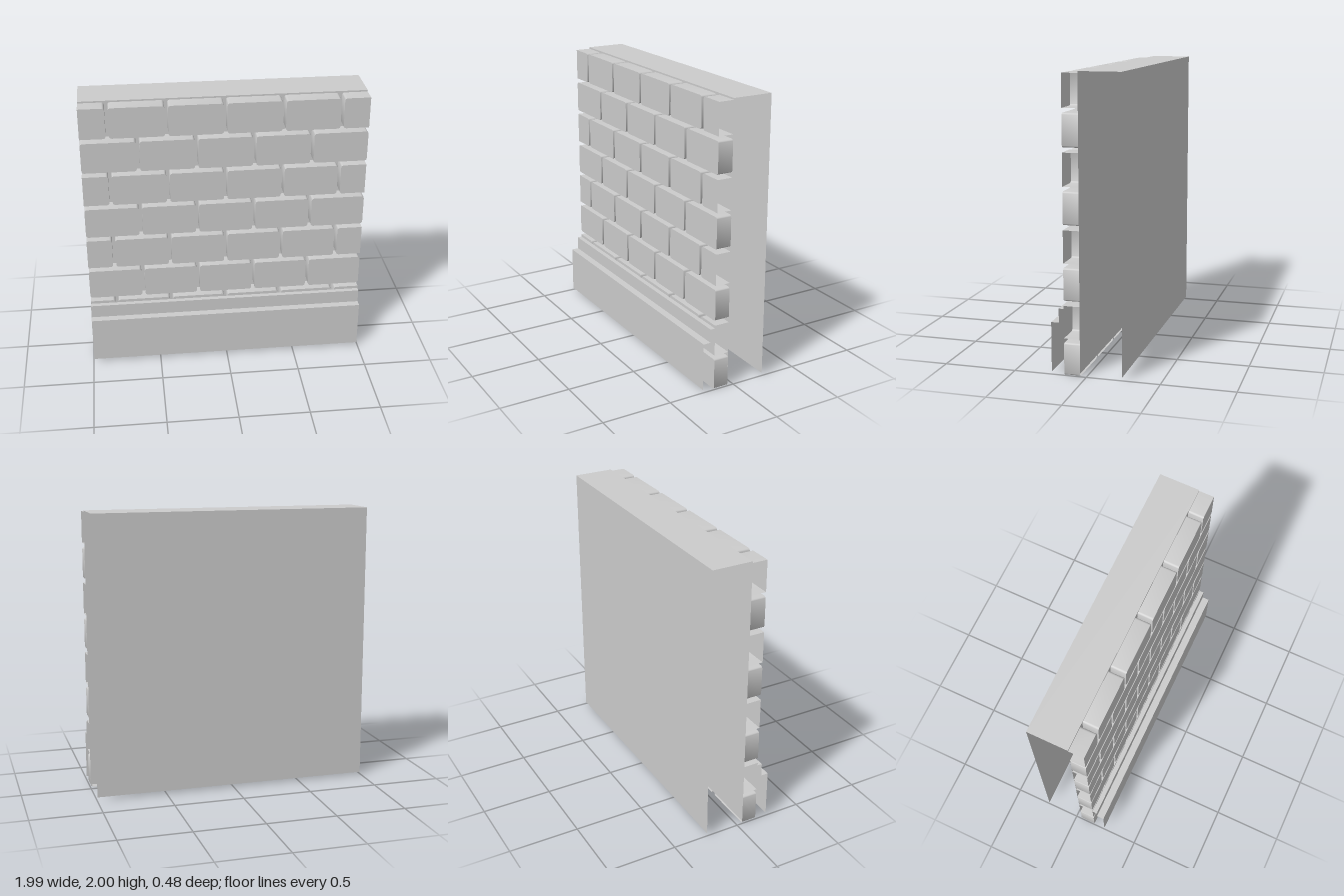
import * as THREE from 'three';
import { mergeGeometries, toCreasedNormals } from 'three/addons/utils/BufferGeometryUtils.js';

const HALF = 0.995;                  // half the wall length
const BACK = -0.242, FACE = 0.044;   // wall back and front
const BRICK_FRONT = 0.153;
const BRICK_W = 0.379, BRICK_H = 0.221, PITCH_X = 0.4025, PITCH_Y = 0.2525;
const RADIUS = 0.018;

const material = new THREE.MeshStandardMaterial({ color: 0xcccccc, side: THREE.DoubleSide });

// Sheet swept along z from a counter-clockwise outline
function strip(points, z0, z1, closed = false) {
  const pos = [];
  const count = closed ? points.length : points.length - 1;
  for (let i = 0; i < count; i++) {
    const [px, py] = points[i];
    const [qx, qy] = points[(i + 1) % points.length];
    pos.push(px, py, z0, qx, qy, z0, qx, qy, z1);
    pos.push(px, py, z0, qx, qy, z1, px, py, z1);
  }
  const geo = new THREE.BufferGeometry();
  geo.setAttribute('position', new THREE.Float32BufferAttribute(pos, 3));
  return toCreasedNormals(geo, 0.6);
}

// Rounded corner as a quarter arc
function corner(cx, cy, start, steps = 4) {
  return Array.from({ length: steps + 1 }, (_, i) => {
    const a = start + (i / steps) * Math.PI / 2;
    return [cx + RADIUS * Math.cos(a), cy + RADIUS * Math.sin(a)];
  });
}

// Brick shell without a back; a cut brick is square and open at its right end
function brickGeometry(width, cut) {
  const x = width / 2 - RADIUS, y = BRICK_H / 2 - RADIUS;
  const left = [...corner(-x, y, Math.PI / 2), ...corner(-x, -y, Math.PI)];
  const points = cut
    ? [[width / 2, BRICK_H / 2], ...left, [width / 2, -BRICK_H / 2]]
    : [...corner(x, y, 0), ...left, ...corner(x, -y, Math.PI * 1.5)];
  const sides = strip(points, FACE, BRICK_FRONT, !cut);
  const shape = new THREE.Shape(points.map(([px, py]) => new THREE.Vector2(px, py)));
  const front = new THREE.ShapeGeometry(shape).toNonIndexed();
  front.translate(0, 0, BRICK_FRONT);
  front.deleteAttribute('uv');
  return mergeGeometries([sides, front]);
}

function add(parent, name, geometry, x = 0, y = 0) {
  const mesh = new THREE.Mesh(geometry, material);
  mesh.name = name;
  mesh.position.set(x, y, 0);
  parent.add(mesh);
  return mesh;
}

export function createModel() {
  const model = new THREE.Group();
  model.name = 'brickWall';

  // Profiles are given as [-z, y] and turned to run along x
  const along = (points) => strip(points, -HALF, HALF).rotateY(Math.PI / 2);

  // Wall core: back, top and front sheets, open at the ends and below
  add(model, 'wallCore', along([
    [-BACK, 0.018], [-BACK, 2], [-FACE, 2], [-FACE, 0.018],
  ]));

  // Stepped skirting in front of the lowest bricks
  add(model, 'skirting', along([
    [-BRICK_FRONT, 0.453], [-0.187, 0.453], [-0.187, 0.357], [-0.24, 0.357], [-0.24, 0.018],
  ]));

  // Brick courses, every second one shifted by half a brick
  const whole = brickGeometry(BRICK_W, false);
  const cutStart = 0.816, cutWidth = HALF - cutStart;
  const cutBrick = brickGeometry(cutWidth, true);
  for (let row = 0; row < 8; row++) {
    const course = new THREE.Group();
    course.name = `brickCourse${row + 1}`;
    const y = row * PITCH_Y + BRICK_H / 2;
    const shifted = row % 2 === 1;
    const count = shifted ? 4 : 5;
    for (let i = 0; i < count; i++) {
      add(course, 'brick', whole, (i - (count - 1) / 2) * PITCH_X, y);
    }
    if (shifted) {
      for (const side of [-1, 1]) {
        add(course, 'cutBrick', cutBrick, side * (cutStart + cutWidth / 2), y).scale.x = side;
      }
    }
    model.add(course);
  }
  return model;
}
